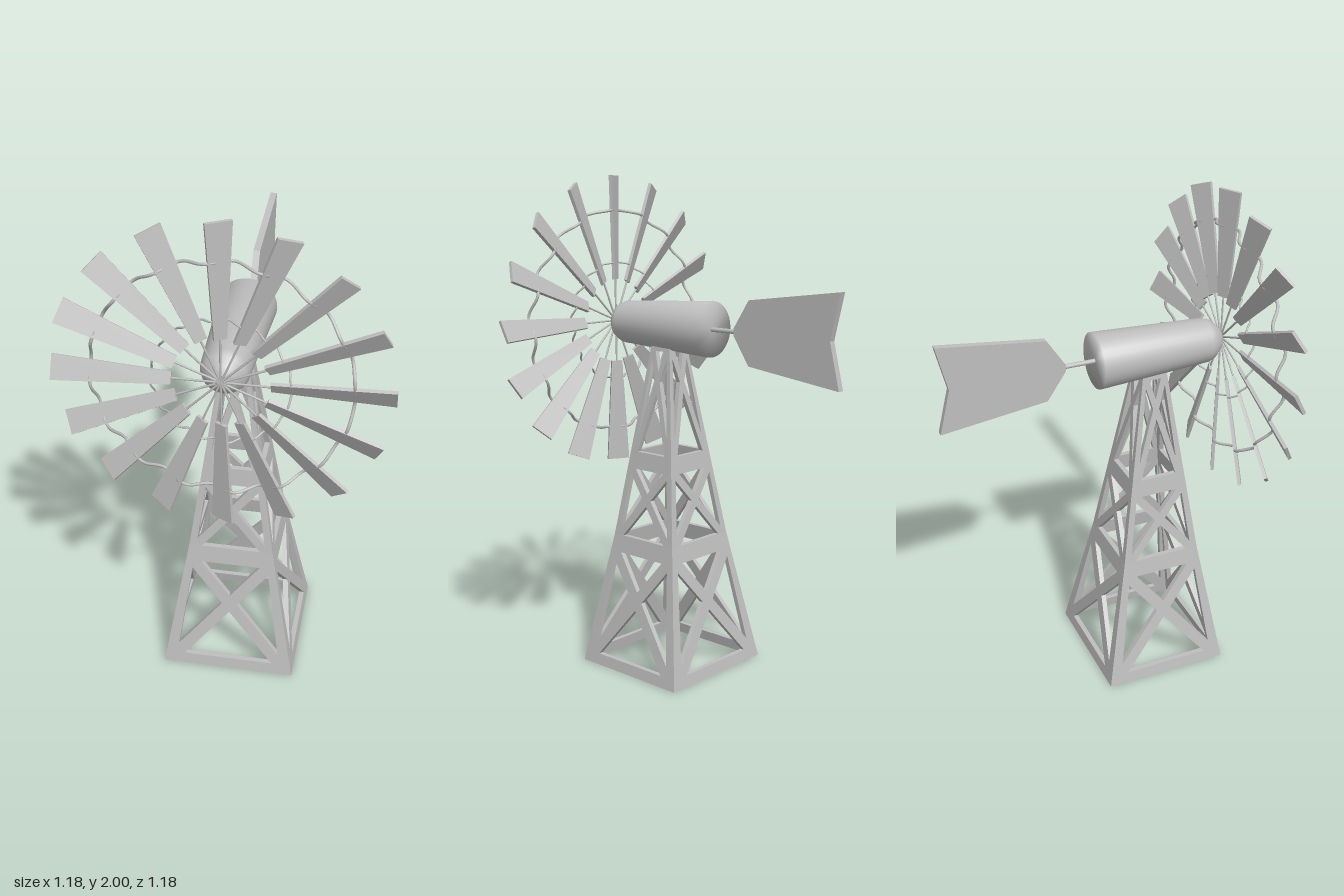
import * as THREE from 'three';

const AXIS_Y = 1.41;   // height of the wheel shaft
const WHEEL_Z = 0.56;
const TOWER_Z = 0.255;
const BLADES = 16;

const metal = new THREE.MeshStandardMaterial({ color: 0xbebebe });
metal.name = 'galvanised grey';

function part(geometry, name) {
  const mesh = new THREE.Mesh(geometry, metal);
  mesh.name = name;
  return mesh;
}

// Half width of the tower at height y (slight bend at the first band)
const halfWidth = (y) => y < 0.55
  ? 0.26 + (0.163 - 0.26) * y / 0.55
  : 0.163 + (0.05 - 0.163) * (y - 0.55) / 0.78;

// Triangular opening: edge p-q lies on the frame, the sides to c are inset by half a brace
function opening(p, q, c, inset) {
  const pq = q.clone().sub(p).normalize();
  const pc = c.clone().sub(p).normalize();
  const qc = c.clone().sub(q).normalize();
  const p2 = p.clone().addScaledVector(pq, inset / Math.sin(Math.acos(pq.dot(pc))));
  const q2 = q.clone().addScaledVector(pq, -inset / Math.sin(Math.acos(-pq.dot(qc))));
  const half = Math.acos(pc.dot(qc)) / 2;
  const c2 = c.clone().addScaledVector(pc.clone().add(qc).normalize(), -inset / Math.sin(half));
  return new THREE.Path([p2, q2, c2]);
}

// One braced bay of one tower side, leaning with the tower
function bayGeometry({ y0, y1, low, high, leg0, leg1, brace }) {
  const v = (x, y) => new THREE.Vector2(x, y);
  const w0 = halfWidth(y0), w1 = halfWidth(y1);
  const shape = new THREE.Shape([v(-w0, y0), v(w0, y0), v(w1, y1), v(-w1, y1)]);
  const a = halfWidth(low) - leg0, b = halfWidth(high) - leg1;
  const c = v(0, low + (high - low) * a / (a + b));
  const corners = [v(-a, low), v(a, low), v(b, high), v(-b, high)];
  corners.forEach((p, i) => shape.holes.push(opening(p, corners[(i + 1) % 4], c, brace / 2)));

  const depth = 0.02;
  const geo = new THREE.ExtrudeGeometry(shape, { depth, bevelEnabled: false });
  const pos = geo.attributes.position;
  for (let i = 0; i < pos.count; i++) {
    const z = w0 + (w1 - w0) * (pos.getY(i) - y0) / (y1 - y0) + pos.getZ(i) - depth;
    pos.setZ(i, z);
    pos.setX(i, THREE.MathUtils.clamp(pos.getX(i), -z, z)); // mitred corners
  }
  geo.computeVertexNormals();
  return geo;
}

function createTower() {
  const tower = new THREE.Group();
  tower.name = 'tower';
  tower.position.z = TOWER_Z;
  const bays = [
    { name: 'lowerBay', y0: 0, y1: 0.55, low: 0.045, high: 0.48, leg0: 0.045, leg1: 0.03, brace: 0.046 },
    { name: 'middleBay', y0: 0.55, y1: 0.9, low: 0.55, high: 0.83, leg0: 0.028, leg1: 0.025, brace: 0.033 },
    { name: 'upperBay', y0: 0.9, y1: 1.33, low: 0.9, high: 1.31, leg0: 0.025, leg1: 0.016, brace: 0.024 },
  ];
  for (const bay of bays) {
    const geo = bayGeometry(bay);
    for (let side = 0; side < 4; side++) {
      const mesh = part(geo, bay.name);
      mesh.rotation.y = side * Math.PI / 2;
      tower.add(mesh);
    }
  }
  return tower;
}

// Flat tapered blade, wider at the tip and pitched about its length
function bladeGeometry() {
  const inner = 0.17, outer = 0.59, length = outer - inner;
  const geo = new THREE.BoxGeometry(1, length, 0.013);
  const pos = geo.attributes.position;
  for (let i = 0; i < pos.count; i++) {
    const t = pos.getY(i) / length + 0.5;
    pos.setX(i, pos.getX(i) * (0.045 + 0.047 * t));
  }
  geo.computeVertexNormals();
  geo.rotateY(0.5);
  geo.translate(0, (inner + outer) / 2, 0);
  return geo;
}

// Wire ring weaving from the front edge of one blade to the back edge of the next
function ringGeometry(radius, wave, thickness) {
  const points = [];
  const count = BLADES * 8;
  for (let i = 0; i < count; i++) {
    const a = i / count * Math.PI * 2;
    points.push(new THREE.Vector3(Math.cos(a) * radius, Math.sin(a) * radius, wave * Math.sin(BLADES * a)));
  }
  const curve = new THREE.CatmullRomCurve3(points, true);
  return new THREE.TubeGeometry(curve, count * 2, thickness, 6, true);
}

function createWheel() {
  const wheel = new THREE.Group();
  wheel.name = 'windWheel';
  wheel.position.set(0, AXIS_Y, WHEEL_Z);
  const blade = bladeGeometry();
  const spoke = new THREE.CylinderGeometry(0.004, 0.004, 0.2, 6);
  spoke.translate(0, 0.1, 0);
  for (let i = 0; i < BLADES; i++) {
    const arm = new THREE.Group();
    arm.name = 'bladeArm';
    arm.rotation.z = i / BLADES * Math.PI * 2;
    arm.add(part(blade, 'blade'), part(spoke, 'spoke'));
    wheel.add(arm);
  }
  wheel.add(part(ringGeometry(0.452, 0.02, 0.006), 'outerRing'));
  wheel.add(part(ringGeometry(0.24, 0.013, 0.004), 'innerRing'));
  return wheel;
}

// Tapered round housing with a domed nose
function createHousing() {
  const profile = [[0, 0.025], [0.11, 0.025], [0.087, 0.485], [0.077, 0.51], [0.05, 0.54], [0.025, 0.557], [0, 0.563]]
    .map(([r, z]) => new THREE.Vector2(r, z));
  const geo = new THREE.LatheGeometry(profile, 32);
  geo.rotateX(Math.PI / 2);
  const mesh = part(geo, 'gearHousing');
  mesh.position.y = AXIS_Y;
  return mesh;
}

function createTail() {
  const tail = new THREE.Group();
  tail.name = 'tail';
  tail.position.y = AXIS_Y;
  const rod = new THREE.CylinderGeometry(0.009, 0.009, 0.17, 12);
  rod.rotateX(Math.PI / 2);
  rod.translate(0, 0, -0.04);
  tail.add(part(rod, 'tailRod'));

  // Vane outline: distance behind the origin, height from the shaft
  const outline = [[0.095, 0.012], [0.095, -0.012], [0.17, -0.125], [0.59, -0.177], [0.547, 0], [0.59, 0.177], [0.17, 0.125]]
    .map(([x, y]) => new THREE.Vector2(x, y));
  const vane = new THREE.ExtrudeGeometry(new THREE.Shape(outline), { depth: 0.026, bevelEnabled: false });
  vane.translate(0, 0, -0.013);
  vane.rotateY(Math.PI / 2);
  tail.add(part(vane, 'tailVane'));
  return tail;
}

export function createModel() {
  const model = new THREE.Group();
  model.name = 'windPump';
  model.add(createTower(), createHousing(), createWheel(), createTail());
  return model;
}
